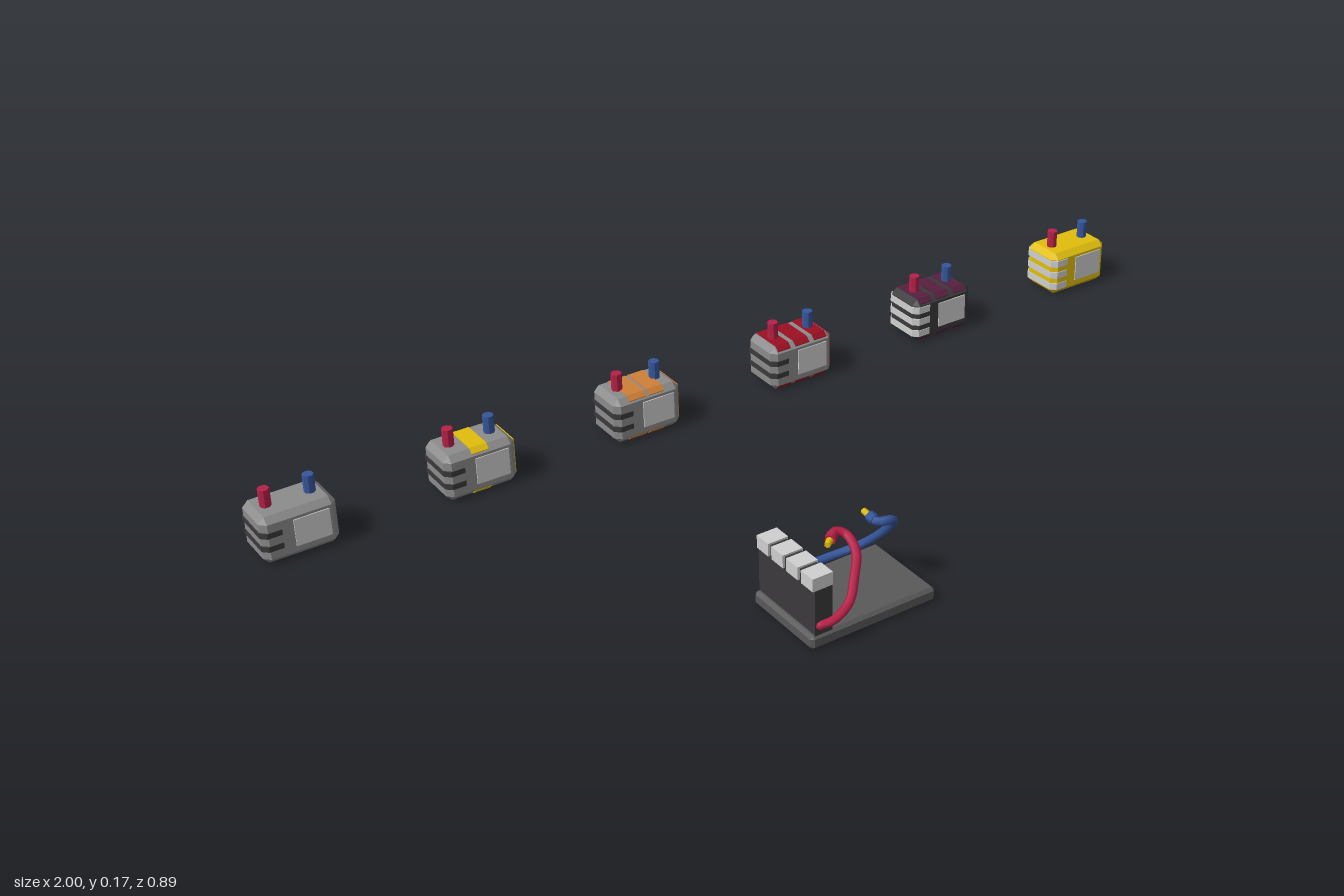
import * as THREE from 'three';
import { ConvexGeometry } from 'three/addons/geometries/ConvexGeometry.js';

const mat = (name, color) => Object.assign(new THREE.MeshStandardMaterial({ color }), { name });
const M = {
  gray: mat('casing gray', 0x8c8c8c),
  dark: mat('dark gray', 0x3b393b),
  mid: mat('base gray', 0x595959),
  light: mat('light gray', 0xd0d0d0),
  yellow: mat('yellow', 0xe2be0c),
  orange: mat('orange', 0xd08038),
  red: mat('deep red', 0x9c0f22),
  purple: mat('dark purple', 0x56203e),
  blue: mat('blue', 0x36569c),
  crimson: mat('crimson', 0xb82048),
};

// Box with all edges cut at 45 degrees
function chamferBox(w, h, d, c) {
  const pts = [];
  for (const x of [-1, 1]) for (const y of [-1, 1]) for (const z of [-1, 1])
    for (let a = 0; a < 3; a++) {
      const cut = [c, c, c];
      cut[a] = 0;
      pts.push(new THREE.Vector3(x * (w / 2 - cut[0]), y * (h / 2 - cut[1]), z * (d / 2 - cut[2])));
    }
  return new ConvexGeometry(pts);
}

// Prism from a 2D outline with cut corners, centred on its own axis
function octPrism(w, d, c, length) {
  const a = w / 2, b = d / 2;
  const shape = new THREE.Shape([
    [-a + c, -b], [a - c, -b], [a, -b + c], [a, b - c],
    [a - c, b], [-a + c, b], [-a, b - c], [-a, -b + c],
  ].map(([x, y]) => new THREE.Vector2(x, y)));
  return new THREE.ExtrudeGeometry(shape, { depth: length, bevelEnabled: false }).translate(0, 0, -length / 2);
}

function add(parent, name, geometry, material, x = 0, y = 0, z = 0) {
  const mesh = new THREE.Mesh(geometry, material);
  mesh.name = name;
  mesh.position.set(x, y, z);
  parent.add(mesh);
  return mesh;
}

const W = 0.149, H = 0.097, D = 0.095;

function battery({ x, body, accent, bands, grips }) {
  const g = new THREE.Group();
  g.name = 'battery';
  g.position.set(x, 0.05, -0.394);
  add(g, 'casing', chamferBox(W, H, D, 0.012), body);

  // Coloured hoops around top, front, bottom and back of the casing
  for (const [from, to] of bands) {
    const hoop = octPrism(D - 0.006, H + 0.003, 0.009, to - from).rotateY(Math.PI / 2);
    add(g, 'colourBand', hoop, accent, (from + to) / 2);
  }
  // Coloured panel on the left end
  if (bands.length) {
    add(g, 'endPanel', new THREE.BoxGeometry(0.004, 0.074, 0.068), accent, W / 2);
  }
  // Grip strips wrapping the right end
  const levels = grips === M.dark ? [-0.014, 0.014] : [-0.027, 0, 0.027];
  const gripHeight = grips === M.dark ? 0.011 : 0.015;
  for (const y of levels) {
    const grip = octPrism(0.05, D + 0.003, 0.011, gripHeight).rotateX(-Math.PI / 2);
    add(g, 'gripStrip', grip, grips, -0.051, y);
  }
  // Labels front and back
  for (const s of [-1, 1]) {
    add(g, 'label', new THREE.BoxGeometry(0.07, 0.056, 0.004), M.light, 0.022, 0.003, s * D / 2);
  }
  // Terminals
  for (const [s, m, n] of [[-1, M.crimson, 'positiveTerminal'], [1, M.blue, 'negativeTerminal']]) {
    add(g, n, new THREE.CylinderGeometry(0.011, 0.011, 0.04, 8).rotateY(Math.PI / 8).toNonIndexed(),
      m, s * 0.043, 0.065).geometry.computeVertexNormals();
  }
  return g;
}

function cable(parent, name, material, points) {
  const path = new THREE.CatmullRomCurve3(points.map(p => new THREE.Vector3(...p)));
  add(parent, name, new THREE.TubeGeometry(path, 40, 0.0085, 6), material);
  // Rounded off start and bare contact at the free end
  add(parent, name + 'Start', new THREE.SphereGeometry(0.0085, 6, 4), material, ...points[0]);
  const end = path.getPoint(1), dir = path.getTangent(1);
  const collar = add(parent, name + 'Collar', new THREE.CylinderGeometry(0.011, 0.011, 0.014, 6), material, ...end);
  const tip = add(parent, name + 'Contact', new THREE.CylinderGeometry(0.006, 0.007, 0.018, 6), M.yellow,
    ...end.clone().addScaledVector(dir, 0.013));
  for (const m of [collar, tip]) m.quaternion.setFromUnitVectors(new THREE.Vector3(0, 1, 0), dir);
}

function charger() {
  const g = new THREE.Group();
  g.name = 'charger';
  add(g, 'basePlate', chamferBox(0.267, 0.028, 0.178, 0.006), M.mid, -0.211, 0.014, 0.343);
  add(g, 'baseUnderside', new THREE.BoxGeometry(0.25, 0.003, 0.162), M.dark, -0.211, 0.0015, 0.343);
  add(g, 'backWall', new THREE.BoxGeometry(0.036, 0.092, 0.17), M.dark, -0.317, 0.072, 0.343);
  add(g, 'wallPanel', new THREE.BoxGeometry(0.004, 0.06, 0.168), M.gray, -0.299, 0.058, 0.343);
  add(g, 'clipRail', new THREE.BoxGeometry(0.034, 0.023, 0.168), M.dark, -0.317, 0.129, 0.343);
  // Row of four clips, each with a dark slot
  for (let i = 0; i < 4; i++) {
    const z = 0.343 + (i - 1.5) * 0.0445;
    add(g, 'clip', new THREE.BoxGeometry(0.042, 0.026, 0.035), M.light, -0.318, 0.131, z);
    add(g, 'clipSlot', new THREE.BoxGeometry(0.004, 0.024, 0.011), M.dark, -0.297, 0.130, z);
  }
  cable(g, 'redCable', M.crimson, [
    [-0.325, 0.045, 0.428], [-0.30, 0.052, 0.436], [-0.265, 0.07, 0.43], [-0.24, 0.10, 0.41],
    [-0.215, 0.128, 0.38], [-0.212, 0.145, 0.345], [-0.228, 0.15, 0.335], [-0.242, 0.148, 0.345],
  ]);
  cable(g, 'blueCable', M.blue, [
    [-0.318, 0.03, 0.258], [-0.29, 0.022, 0.243], [-0.24, 0.02, 0.235], [-0.18, 0.022, 0.237],
    [-0.125, 0.04, 0.26], [-0.106, 0.09, 0.31], [-0.11, 0.135, 0.348], [-0.13, 0.15, 0.36],
    [-0.15, 0.15, 0.352], [-0.152, 0.153, 0.34],
  ]);
  return g;
}

export function createModel() {
  const model = new THREE.Group();
  model.name = 'batteryChargingSet';
  const triple = [[-0.06, -0.029], [-0.017, 0.017], [0.029, 0.06]];
  const { gray, dark, light, yellow, orange, red, purple } = M;
  [
    { x: -0.925, body: gray, accent: gray, bands: [], grips: dark },
    { x: -0.558, body: gray, accent: yellow, bands: [[-0.018, 0.018]], grips: dark },
    { x: -0.19, body: gray, accent: orange, bands: [[-0.042, -0.003], [0.003, 0.038]], grips: dark },
    { x: 0.18, body: gray, accent: red, bands: triple, grips: dark },
    { x: 0.543, body: dark, accent: purple, bands: triple, grips: light },
    { x: 0.925, body: yellow, accent: yellow, bands: [], grips: light },
  ].forEach(spec => model.add(battery(spec)));
  model.add(charger());
  return model;
}
